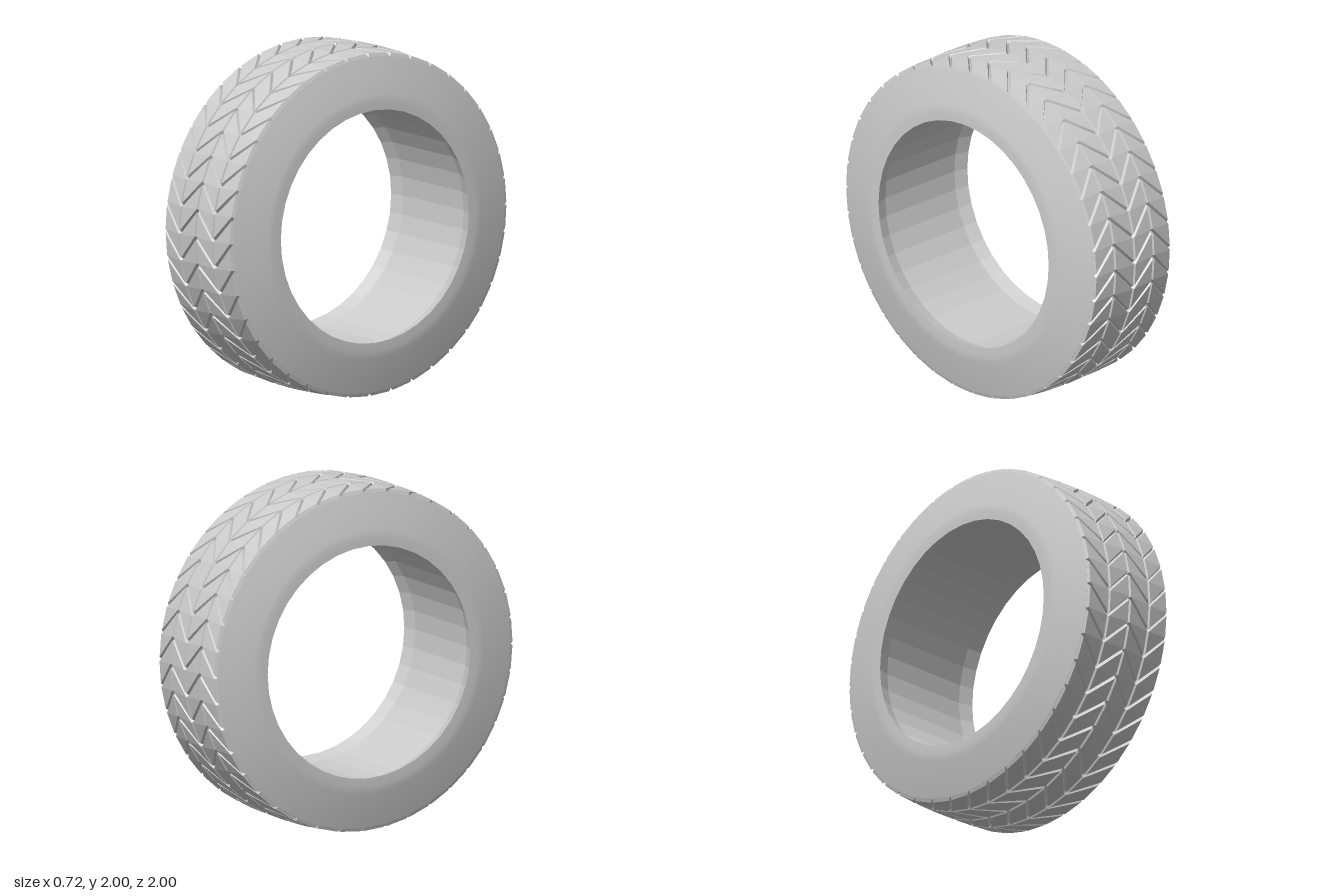
import * as THREE from 'three';

const ROWS = 40;
const STEP = (Math.PI * 2) / ROWS;
const DEPTH = 0.02; // groove depth

const grey = (flatShading) => new THREE.MeshStandardMaterial({ color: 0xcccccc, flatShading });

// Slightly domed crown radius across the tread
const crown = (x) => 1 - 0.014 * (x / 0.3) ** 2;

// Ring turned about the x axis from [x, radius] pairs
function ring(name, profile, flat) {
  const pts = profile.map(([x, r]) => new THREE.Vector2(r, x));
  const geo = new THREE.LatheGeometry(pts, ROWS).rotateZ(-Math.PI / 2);
  const mesh = new THREE.Mesh(geo, grey(flat));
  mesh.name = name;
  return mesh;
}

// One column of slanted, bevelled tread blocks between x0 and x1;
// s0 and s1 are the angular shifts of its two edges
function treadColumn(name, x0, x1, s0, s1) {
  const position = [];
  const shift = (x) => s0 + ((s1 - s0) * (x - x0)) / (x1 - x0);
  const point = (x, angle, drop) => {
    const r = crown(x) - drop;
    const t = angle + shift(x);
    return [x, r * Math.sin(t), r * Math.cos(t)];
  };
  const quad = (a, b, c, d, splitAC) => {
    const tris = splitAC ? [a, b, c, a, c, d] : [a, b, d, b, c, d];
    tris.forEach((p) => position.push(...p));
  };
  // corners run counter-clockwise seen from outside
  const corners = (base, insetX, insetAngle, drop) => {
    const lo = base + insetAngle, hi = base + STEP - insetAngle;
    const l = x0 + insetX, r = x1 - insetX;
    return [point(l, lo, drop), point(r, lo, drop), point(r, hi, drop), point(l, hi, drop)];
  };
  for (let i = 0; i < ROWS; i++) {
    const top = corners(i * STEP, 0.008, 0.013, 0);
    const foot = corners(i * STEP, 0, 0.001, DEPTH);
    quad(...top, s1 < s0);
    for (let k = 0; k < 4; k++) {
      const n = (k + 1) % 4;
      quad(foot[k], foot[n], top[n], top[k], true);
    }
  }
  const geo = new THREE.BufferGeometry();
  geo.setAttribute('position', new THREE.Float32BufferAttribute(position, 3));
  geo.computeVertexNormals();
  const mesh = new THREE.Mesh(geo, grey(true));
  mesh.name = name;
  return mesh;
}

export function createModel() {
  const model = new THREE.Group();
  model.name = 'tyre';
  const wheel = new THREE.Group();
  wheel.name = 'tyreBody';
  wheel.position.y = 1;
  model.add(wheel);

  // Groove floor under the blocks
  const edge = crown(0.3) - DEPTH + 0.002;
  const floor = [-0.305, -0.155, 0, 0.155, 0.305].map((x) => [x, Math.abs(x) > 0.3 ? edge : crown(x) - DEPTH]);
  wheel.add(ring('treadBase', floor, true));

  // Smooth sidewalls
  const side = [[0.305, edge], [0.328, 0.88], [0.356, 0.76], [0.36, 0.72], [0.36, 0.67]];
  wheel.add(ring('leftSidewall', side, false));
  wheel.add(ring('rightSidewall', side.map(([x, r]) => [-x, r]).reverse(), false));

  // Faceted inside with a bead at each rim
  const inner = [[0.36, 0.67], [0.28, 0.695], [-0.28, 0.695], [-0.36, 0.67]];
  wheel.add(ring('innerLiner', inner, true));

  // Zigzag tread blocks in four columns
  const xs = [-0.305, -0.155, 0, 0.155, 0.305];
  const shifts = [0, -STEP, 0, -STEP, 0];
  const names = ['rightOuterTread', 'rightInnerTread', 'leftInnerTread', 'leftOuterTread'];
  names.forEach((name, i) => wheel.add(treadColumn(name, xs[i], xs[i + 1], shifts[i], shifts[i + 1])));

  return model;
}
